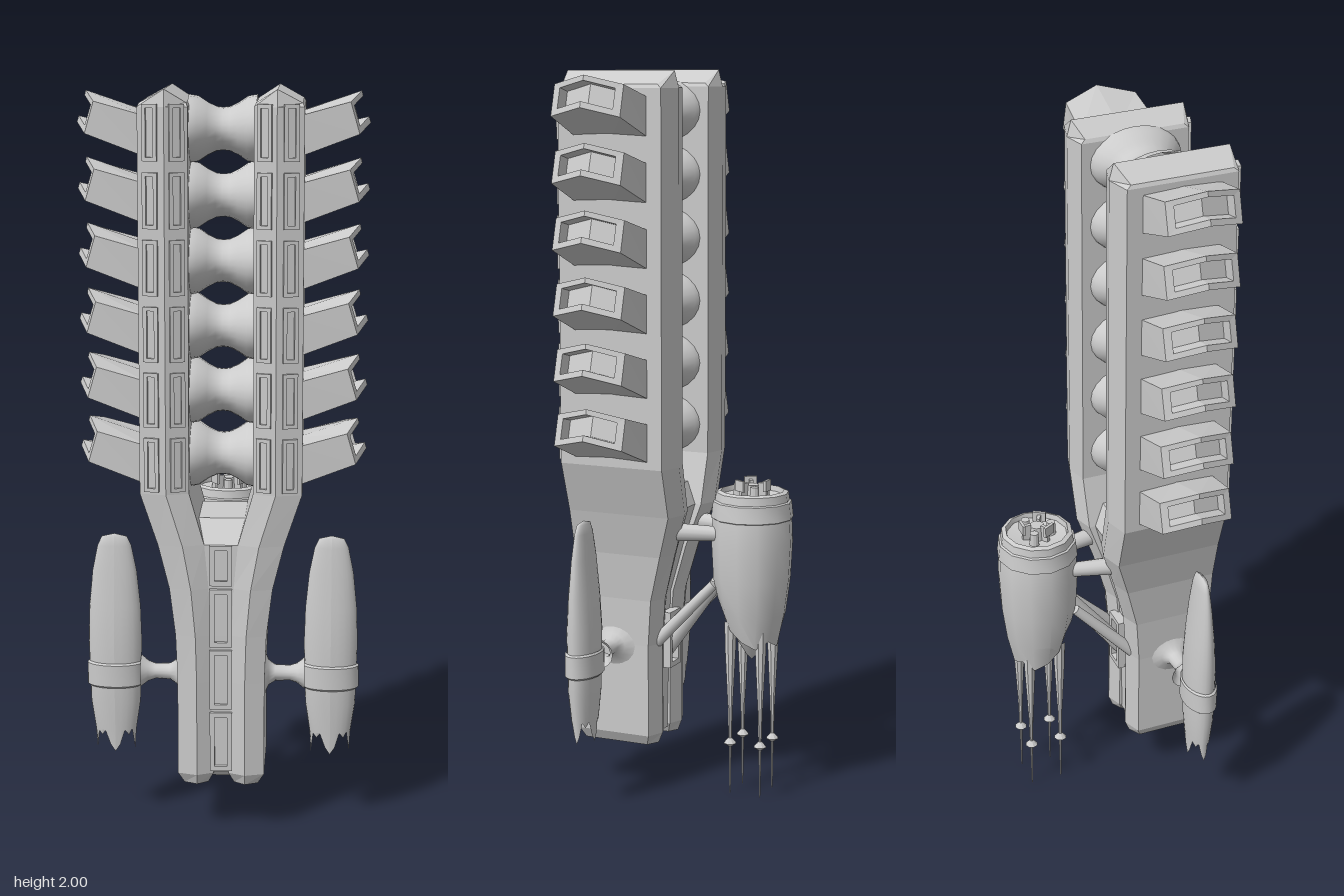
import * as THREE from 'three';
import { toCreasedNormals } from 'three/addons/utils/BufferGeometryUtils.js';

const flat = new THREE.MeshStandardMaterial({ color: 0xcccccc, flatShading: true });
const smooth = new THREE.MeshStandardMaterial({ color: 0xcccccc });
const open = new THREE.MeshStandardMaterial({ color: 0xcccccc, side: THREE.DoubleSide });
const PITCH = 0.174, TOP = 1.89, COUNT = 6;

export function createModel() {
  const root = new THREE.Group();
  root.name = 'towerShip';

  const add = (name, geo, mat, x = 0, y = 0, z = 0, parent = root) => {
    const m = new THREE.Mesh(geo, mat);
    m.name = name;
    m.position.set(x, y, z);
    parent.add(m);
    return m;
  };

  // Skin between rings of [x, y, z] points, with end caps; s = -1 mirrors across x
  const loft = (rings, s = 1) => {
    const r = rings.map(g => {
      const p = g.map(([x, y, z]) => [x * s, y, z]);
      return s < 0 ? p.reverse() : p;
    });
    const n = r[0].length, pos = [];
    const quad = (a, b, c, d) => [a, b, c, a, c, d].forEach(p => pos.push(...p));
    for (let i = 0; i < r.length - 1; i++)
      for (let j = 0; j < n; j++) {
        const k = (j + 1) % n;
        quad(r[i][j], r[i][k], r[i + 1][k], r[i + 1][j]);
      }
    const first = r[0], last = r[r.length - 1];
    for (let i = 0; i < n / 2 - 1; i++) {
      quad(last[i], last[i + 1], last[n - 2 - i], last[n - 1 - i]);
      quad(first[n - 1 - i], first[n - 2 - i], first[i + 1], first[i]);
    }
    const g = new THREE.BufferGeometry();
    g.setAttribute('position', new THREE.Float32BufferAttribute(pos, 3));
    g.computeVertexNormals();
    return g;
  };

  // Turned part from [radius, y] points, lowest first
  const lathe = (pts, seg = 24) => new THREE.LatheGeometry(pts.map(p => new THREE.Vector2(...p)), seg);

  // Rectangular raised frame
  const frame = (w, h, t, depth) => {
    const rect = (P, a, b) => new P([[-a, -b], [a, -b], [a, b], [-a, b]].map(p => new THREE.Vector2(...p)));
    const sh = rect(THREE.Shape, w / 2, h / 2);
    sh.holes.push(rect(THREE.Path, w / 2 - t, h / 2 - t));
    return new THREE.ExtrudeGeometry(sh, { depth, bevelEnabled: false });
  };

  // Round strut between two points
  const strut = (name, a, b, r0, r1) => {
    const A = new THREE.Vector3(...a), B = new THREE.Vector3(...b), d = B.clone().sub(A);
    const m = add(name, new THREE.CylinderGeometry(r1, r0, d.length(), 12), smooth);
    m.position.copy(A).add(B).multiplyScalar(0.5);
    m.quaternion.setFromUnitVectors(new THREE.Vector3(0, 1, 0), d.normalize());
  };

  // Twin hulls: rows of [y, inner x, outer x, back z, inset]
  const rows = [
    [0.13, 0.035, 0.1, 0.055, 0.012], [0.16, 0.02, 0.117, 0.055, 0], [0.42, 0.02, 0.117, 0.055, 0],
    [0.55, 0.022, 0.122, 0.045, 0], [0.68, 0.03, 0.138, 0.01, 0], [0.8, 0.045, 0.168, -0.03, 0],
    [0.94, 0.085, 0.215, -0.033, 0], [1.955, 0.085, 0.215, -0.033, 0], [1.965, 0.09, 0.21, -0.033, 0.012]];
  const hullRing = ([y, a, b, zb, e], i) => {
    const m = a + (b - a) * 0.46, ridge = i === rows.length - 1 ? 0.035 : 0;
    return [[a, y, 0.28 - e], [m, y + ridge, 0.302 - e], [b, y, 0.285 - e],
      [b, y, zb + 0.015 + e], [m, y + ridge, zb - 0.005 + e], [a, y, zb + 0.012 + e]];
  };

  // Side fins: slanted box with a chevron end and a framed recess
  const finRing = (y, xt, xb, yt, yb, hw, chev, rise) => {
    const z = 0.132;
    return [[xt - chev, y + yt - rise, z - hw], [xt, y + yt, z], [xt - chev, y + yt - rise, z + hw],
      [xb - chev, y + yb - rise, z + hw], [xb, y + yb, z], [xb - chev, y + yb - rise, z - hw]];
  };
  const fin = (y, s) => loft([
    finRing(y, 0.2, 0.2, 0.045, -0.06, 0.108, 0, 0.005),
    finRing(y, 0.362, 0.386, 0.1, 0.017, 0.1, 0.03, 0.024),
    finRing(y, 0.365, 0.381, 0.086, 0.033, 0.08, 0.024, 0.02),
    finRing(y, 0.322, 0.338, 0.076, 0.023, 0.08, 0.024, 0.02)], s);

  for (const s of [1, -1]) {
    const side = s > 0 ? 'left' : 'right';
    add(side + 'Hull', loft(rows.map(hullRing), s), flat);
    for (let i = 0; i < COUNT; i++) {
      const y = TOP - i * PITCH;
      add(side + 'Fin', fin(y, s), flat);
      for (const [x, z, a] of [[0.115, 0.288, -0.34], [0.181, 0.291, 0.23]])
        add(side + 'WindowFrame', frame(0.04, 0.145, 0.01, 0.01), flat, s * x, y, z).rotation.y = s * a;
    }
  }

  // Saddle bridges joining the hulls
  const saddle = [[0.128, -0.09], [0.122, -0.065], [0.098, -0.04], [0.083, -0.018], [0.08, 0],
    [0.083, 0.018], [0.098, 0.04], [0.122, 0.065], [0.128, 0.09]];
  for (let i = 0; i < COUNT; i++) {
    const g = lathe(saddle, 24).rotateZ(Math.PI / 2);
    g.scale(1, 0.7, 1);
    add('bridge', g, open, 0, TOP - i * PITCH, 0.13);
  }

  // Spine between the lower hulls
  const spine = [[0.15, 0.03, 0.075, 0.27], [0.17, 0.03, 0.075, 0.283], [0.55, 0.032, 0.065, 0.283],
    [0.8, 0.058, 0, 0.28], [0.86, 0.075, 0.03, 0.22]];
  add('spine', loft(spine.map(([y, w, b, f]) => [[-w, y, f], [w, y, f], [w, y, b], [-w, y, b]])), flat);
  for (const [lo, hi] of [[0.17, 0.335], [0.345, 0.51], [0.52, 0.68], [0.69, 0.8]])
    add('spineFrame', frame(0.06, hi - lo, 0.013, 0.013), flat, 0, (lo + hi) / 2, 0.28);
  add('rearHatch', frame(0.07, 0.16, 0.015, 0.03), flat, 0, 0.42, 0.04);

  // Side pods on pylons
  const podShape = [[0.052, 0.2], [0.056, 0.25], [0.068, 0.33], [0.07, 0.4], [0.073, 0.5], [0.07, 0.6],
    [0.06, 0.7], [0.046, 0.77], [0.034, 0.795], [0, 0.803]];
  const pylonShape = [[0.075, 0], [0.04, 0.012], [0.026, 0.03], [0.024, 0.07], [0.032, 0.09], [0.05, 0.11]];
  for (const s of [1, -1]) {
    const pod = new THREE.Group();
    pod.name = s > 0 ? 'leftPod' : 'rightPod';
    pod.position.set(s * 0.295, 0, 0.177);
    root.add(pod);
    const body = lathe(podShape, 24), p = body.attributes.position;
    // Notched tail and a flattened, pointed nose
    for (let i = 0; i < p.count; i++) {
      const y = p.getY(i), turn = Math.floor(i / podShape.length) % 6;
      if (y < 0.22) p.setY(i, [0.19, 0.21, 0.25, 0.235, 0.25, 0.21][turn]);
      p.setZ(i, p.getZ(i) * (y > 0.5 ? 0.55 - (y - 0.5) * 0.8 : 0.55));
    }
    body.computeVertexNormals();
    add('podBody', body, open, 0, 0, 0, pod);
    add('podCore', lathe([[0, 0.23], [0.03, 0.25], [0.06, 0.38]], 16).scale(1, 1, 0.5), open, 0, 0, 0, pod);
    const band = toCreasedNormals(lathe([[0.07, 0.375], [0.077, 0.38], [0.077, 0.44], [0.07, 0.445]], 24), 0.6);
    add('podBand', band.scale(1, 1, 0.6), smooth, 0, 0, 0, pod);
    const pylon = lathe(pylonShape, 16).rotateZ(-s * Math.PI / 2).scale(1, 0.85, 1);
    add('pylon', pylon, open, s * 0.114, 0.415, 0.177);
  }

  // Rear engine shell, with its lower edge cut higher toward the hull
  const engine = new THREE.Group();
  engine.name = 'rearEngine';
  engine.position.set(0, 0, -0.193);
  root.add(engine);
  const shellPts = [[0.075, 0.43], [0.095, 0.52], [0.108, 0.62], [0.113, 0.72], [0.11, 0.79], [0.104, 0.835],
    [0.1, 0.86], [0.088, 0.865], [0.085, 0.85], [0.03, 0.84], [0, 0.84]];
  const shell = lathe(shellPts, 12), sp = shell.attributes.position;
  for (let i = 0; i < sp.count; i++) {
    const k = i % shellPts.length, lift = Math.max(0, sp.getZ(i)) / 0.08;
    if (k === 0) sp.setY(i, 0.43 + 0.1 * lift + (Math.floor(i / shellPts.length) % 2) * 0.02);
    if (k === 1) sp.setY(i, 0.52 + 0.04 * lift);
  }
  add('engineShell', toCreasedNormals(shell, 0.7), open, 0, 0, 0, engine);
  add('engineCollar', toCreasedNormals(lathe([[0.106, 0.785], [0.114, 0.79], [0.109, 0.835], [0.1, 0.84]], 12), 0.6),
    smooth, 0, 0, 0, engine);
  add('engineCore', lathe([[0, 0.385], [0.015, 0.4], [0.04, 0.44], [0.075, 0.5], [0.09, 0.62]], 16), open, 0, 0, 0, engine);

  // Ports and brackets on the engine top
  add('centrePort', new THREE.CylinderGeometry(0.02, 0.024, 0.05, 16), flat, 0, 0.855, 0, engine);
  for (let i = 0; i < 3; i++) {
    const a = i * Math.PI * 2 / 3, b = a + Math.PI / 3;
    add('port', new THREE.CylinderGeometry(0.012, 0.014, 0.045, 12), flat,
      0.042 * Math.sin(a), 0.858, 0.042 * Math.cos(a), engine);
    const arm = add('bracketArm', new THREE.BoxGeometry(0.01, 0.05, 0.024), flat,
      0.03 * Math.sin(b), 0.862, 0.03 * Math.cos(b), engine);
    arm.rotation.y = b;
    const bar = add('bracketBar', new THREE.BoxGeometry(0.036, 0.03, 0.008), flat,
      0.043 * Math.sin(b), 0.88, 0.043 * Math.cos(b), engine);
    bar.rotation.y = b;
  }

  // Four antenna spikes with small collars
  const spike = [[0, 0], [0.002, 0.01], [0.004, 0.14], [0.018, 0.15], [0.005, 0.165], [0.007, 0.25],
    [0.016, 0.42], [0.018, 0.5]];
  for (const x of [-0.045, 0.045])
    for (const z of [-0.045, 0.045])
      add('spike', toCreasedNormals(lathe(spike, 8), 0.6), smooth, x, 0, z, engine);

  // Engine mounts
  for (const s of [1, -1]) {
    strut('upperMount', [s * 0.085, 0.745, 0.02], [s * 0.055, 0.745, -0.12], 0.026, 0.02);
    strut('sideMount', [s * 0.07, 0.42, 0.07], [s * 0.05, 0.6, -0.1], 0.018, 0.014);
  }
  strut('lowerMount', [0, 0.37, 0.08], [0, 0.61, -0.1], 0.024, 0.018);
  return root;
}
